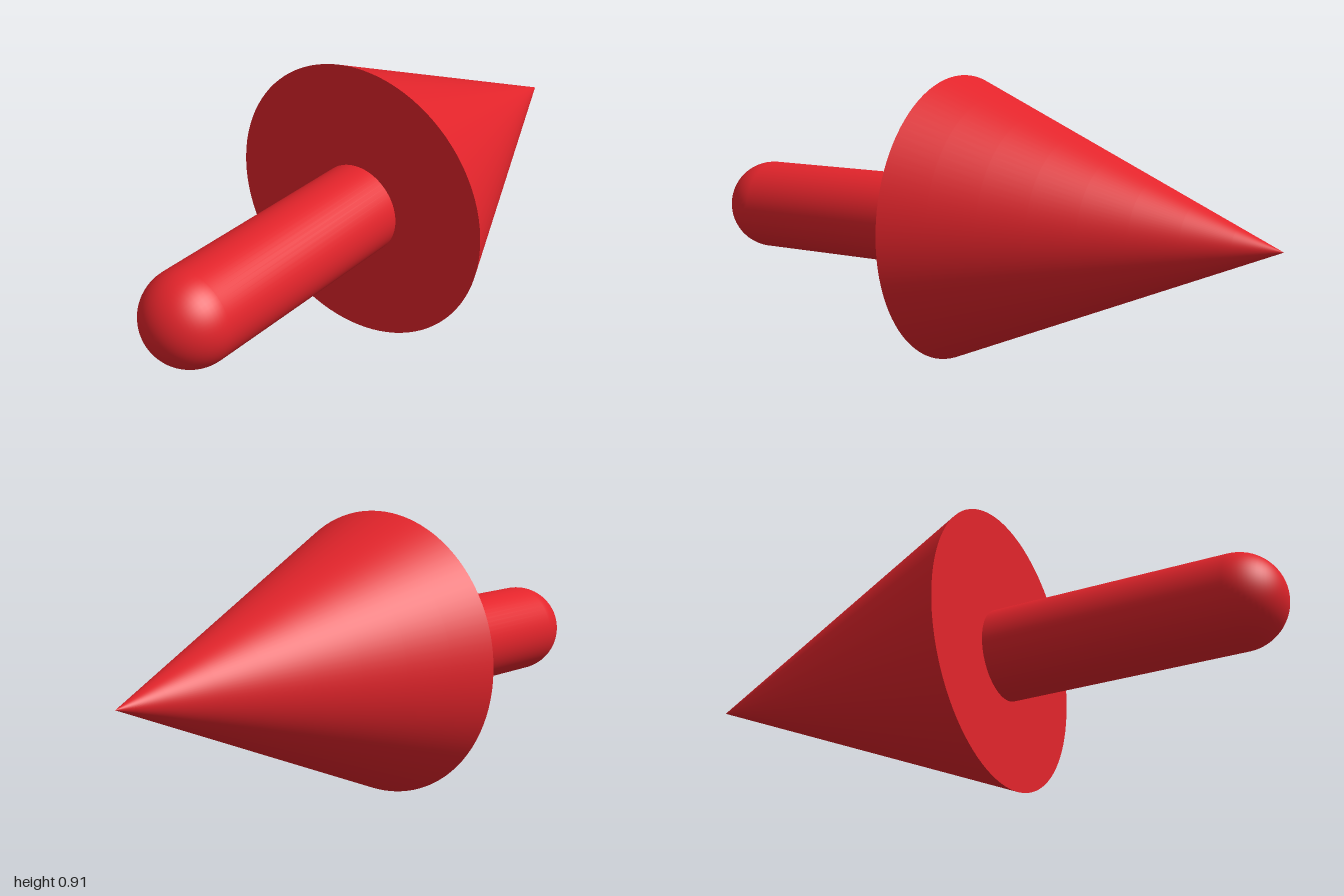
import * as THREE from 'three';

const RADIUS = 0.453;      // arrowhead
const SHAFT_RADIUS = 0.146;

export function createModel() {
  const model = new THREE.Group();
  const red = new THREE.MeshStandardMaterial({ color: 0xe3242b });

  // Both parts are built along y, then laid so that +y points to +x
  const add = (name, geometry, x, y) => {
    const mesh = new THREE.Mesh(geometry.rotateZ(-Math.PI / 2), red);
    mesh.name = name;
    mesh.position.set(x, y, 0);
    model.add(mesh);
  };

  // Cone head with a flat base, tip at x = 1
  const base = -0.085, tip = 1;
  add('arrowHead', new THREE.ConeGeometry(RADIUS, tip - base, 96, 8), (base + tip) / 2, RADIUS + 0.001);

  // Round-ended shaft, set slightly below the head's axis and running into it
  const tail = -1, inner = 0.1;
  const straight = inner - tail - 2 * SHAFT_RADIUS;
  add('shaft', new THREE.CapsuleGeometry(SHAFT_RADIUS, straight, 16, 64), (tail + inner) / 2, 0.433);

  return model;
}
